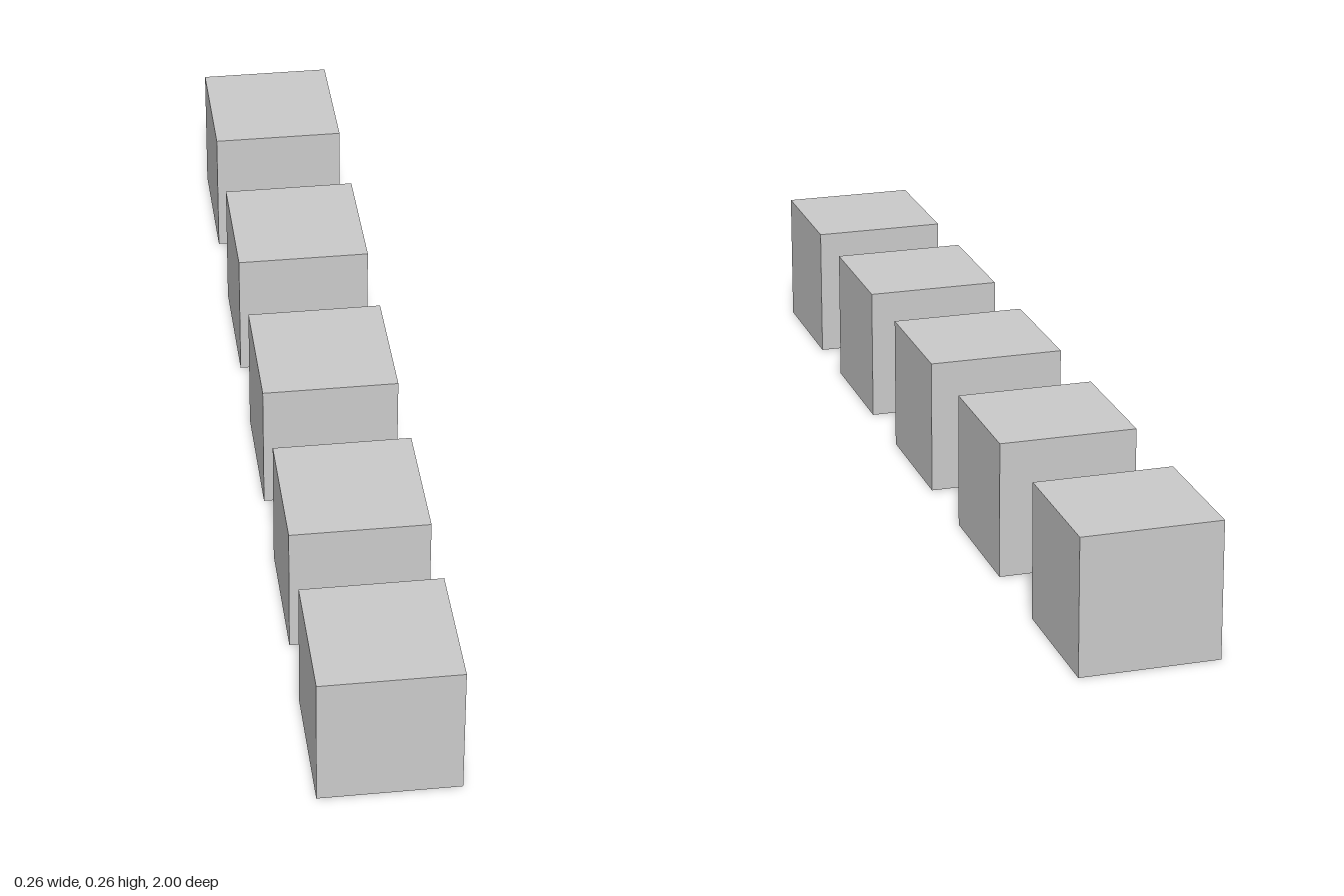
import * as THREE from 'three';

// A straight row of five equal cubes, the gaps widening slightly to the back
const SIZE = 0.26;
const CENTRES_Z = [0.87, 0.457, 0.025, -0.416, -0.87];

export function createModel() {
  const model = new THREE.Group();
  model.name = 'cubeRow';

  const geometry = new THREE.BoxGeometry(SIZE, SIZE, SIZE);
  const material = new THREE.MeshStandardMaterial({ color: 0xcccccc });

  // Cubes from front to back, resting on the ground
  CENTRES_Z.forEach((z, i) => {
    const cube = new THREE.Mesh(geometry, material);
    cube.name = `cube${i + 1}`;
    cube.position.set(0, SIZE / 2, z);
    model.add(cube);
  });

  return model;
}
